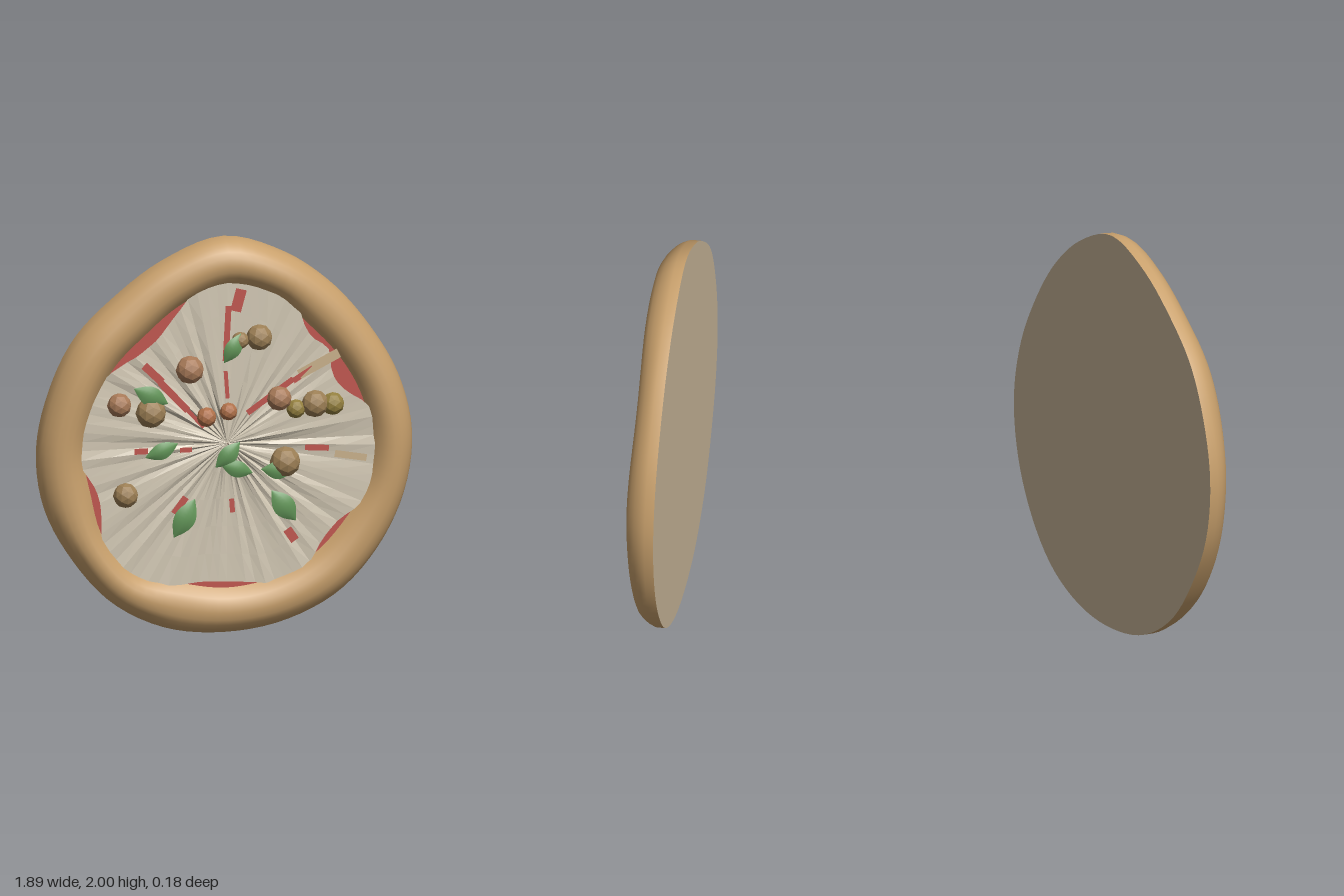
import * as THREE from 'three';

const CY = 0.97; // height of the pizza's middle
const N = 96; // steps around the rim
const BACK = -0.09;

// Radii every 18 degrees, counter-clockwise from +x
const OUTER = [0.942, 0.921, 0.91, 0.937, 0.984, 1.03, 0.974, 0.931, 0.931, 0.926,
  0.942, 0.952, 0.952, 0.974, 0.979, 0.97, 0.974, 0.979, 0.963, 0.952];
const INNER = [0.725, 0.704, 0.693, 0.704, 0.767, 0.794, 0.741, 0.693, 0.693, 0.698,
  0.714, 0.714, 0.762, 0.783, 0.73, 0.73, 0.73, 0.73, 0.725, 0.741];

function outline(radii) {
  const curve = new THREE.CatmullRomCurve3(radii.map((r, i) => {
    const a = (i / radii.length) * Math.PI * 2;
    return new THREE.Vector3(r * Math.cos(a), r * Math.sin(a), 0);
  }), true);
  return Array.from({ length: N }, (_, j) => curve.getPoint(j / N));
}

// Skin a set of closed rings, each of N points
function loft(rings) {
  const pos = [], index = [];
  rings.forEach(ring => ring.forEach(p => pos.push(p.x, p.y, p.z)));
  for (let i = 0; i < rings.length - 1; i++) {
    for (let j = 0; j < N; j++) {
      const k = (j + 1) % N;
      const a = i * N + j, b = i * N + k, c = a + N, d = b + N;
      index.push(a, b, c, b, d, c);
    }
  }
  const g = new THREE.BufferGeometry();
  g.setAttribute('position', new THREE.Float32BufferAttribute(pos, 3));
  g.setIndex(index);
  g.computeVertexNormals();
  return g;
}

function seeded(seed) {
  return () => {
    seed = (seed * 16807) % 2147483647;
    return seed / 2147483647;
  };
}

const paint = (color, extra = {}) => new THREE.MeshStandardMaterial({ color, ...extra });

export function createModel() {
  const model = new THREE.Group();
  const pizza = new THREE.Group();
  pizza.name = 'pizza';
  pizza.position.y = CY;
  model.add(pizza);

  const add = (name, geometry, material, parent = pizza) => {
    const mesh = new THREE.Mesh(geometry, material);
    mesh.name = name;
    parent.add(mesh);
    return mesh;
  };
  const group = name => {
    const g = new THREE.Group();
    g.name = name;
    pizza.add(g);
    return g;
  };

  const outer = outline(OUTER), inner = outline(INNER);
  const scaled = (ring, s, z) => ring.map(p => new THREE.Vector3(p.x * s, p.y * s, z));

  // Crust: a puffy section swept around the rim, [share of the way inward, z]
  const section = [[0, BACK], [0, -0.045], [0.05, -0.015], [0.12, 0.01], [0.22, 0.034], [0.34, 0.05],
    [0.5, 0.057], [0.65, 0.052], [0.78, 0.036], [0.9, 0.01], [1, -0.02]];
  add('crust', loft(section.map(([t, z]) => outer.map((p, j) => {
    const a = (j / N) * Math.PI * 2;
    const puff = 0.006 * Math.sin(5 * a + 1) * Math.sin(Math.PI * t);
    const v = p.clone().lerp(inner[j], t);
    v.z = z + puff;
    return v;
  }))), paint(0xc8a06c));

  // Flat underside and sauce layer
  add('base', loft([scaled(outer, 0.001, BACK), scaled(outer, 1, BACK)]), paint(0xc8b698, { flatShading: true }));
  add('sauce', loft([scaled(inner, 1.02, -0.012), scaled(inner, 0.001, -0.012)]), paint(0xc0564f, { flatShading: true }));

  // Cheese: radial ridges, with an edge that draws back to bare the sauce [degrees, half width, depth]
  const gaps = [[126, 22, 0.1], [28, 15, 0.14], [50, 10, 0.07], [268, 18, 0.07], [202, 14, 0.07], [318, 14, 0.07]];
  const random = seeded(41);
  const ridge = inner.map(() => random() * 2 - 1);
  const cheeseRing = t => inner.map((p, j) => {
    const deg = (j / N) * 360;
    let edge = 1.03;
    for (const [at, half, depth] of gaps) {
      const d = Math.abs(deg - at) / half;
      if (d < 1) edge -= depth * (1 - d * d);
    }
    const lift = 0.012 * ridge[j] * Math.min(1, t * 5) * (1 - 0.6 * t);
    return new THREE.Vector3(p.x * t * edge, p.y * t * edge, 0.004 + lift);
  });
  add('cheese', loft([1, 0.8, 0.6, 0.4, 0.2, 0.08, 0.002].map(cheeseRing)),
    paint(0xd2c8b4, { flatShading: true, side: THREE.DoubleSide }));

  // Thin streaks on the cheese: [x1, y1, x2, y2, width]
  const streaks = (name, color, list) => {
    const g = group(name + 's');
    const material = paint(color, { side: THREE.DoubleSide });
    for (const [x1, y1, x2, y2, w] of list) {
      const length = Math.hypot(x2 - x1, y2 - y1);
      const m = add(name, new THREE.PlaneGeometry(length, w), material, g);
      m.position.set((x1 + x2) / 2, (y1 + y2) / 2 - CY, 0.014);
      m.rotation.z = Math.atan2(y2 - y1, x2 - x1);
    }
  };
  streaks('sauceStreak', 0xc0564f, [
    [0.07, 1.75, 0.04, 1.64, 0.055], [0.005, 1.67, -0.01, 1.39, 0.03], [-0.01, 1.34, 0, 1.2, 0.02],
    [-0.42, 1.39, -0.33, 1.3, 0.04], [-0.34, 1.3, -0.2, 1.15, 0.035], [-0.2, 1.15, -0.12, 1.06, 0.02],
    [0.1, 1.12, 0.33, 1.28, 0.03], [0.33, 1.27, 0.43, 1.33, 0.03], [-0.47, 0.955, -0.4, 0.955, 0.03],
    [-0.24, 0.95, -0.18, 0.95, 0.025], [0.39, 0.93, 0.51, 0.92, 0.03], [0.3, 0.52, 0.34, 0.46, 0.045],
    [0.02, 0.69, 0.025, 0.62, 0.025], [-0.27, 0.63, -0.21, 0.71, 0.035]]);
  streaks('doughPatch', 0xc8b08a, [[0.54, 0.89, 0.7, 0.86, 0.035], [0.36, 1.3, 0.56, 1.4, 0.05]]);

  // Meatballs: [x, y, radius, colour]
  const brown = 0x9c7f55, olive = 0x94803f, reddish = 0xa87a58, orange = 0xb0714a;
  const balls = group('meatballs');
  for (const [x, y, r, color] of [
    [0.16, 1.5, 0.066, brown], [0.065, 1.49, 0.043, brown], [-0.19, 1.355, 0.071, reddish],
    [-0.545, 1.195, 0.061, reddish], [-0.386, 1.148, 0.077, brown], [-0.106, 1.11, 0.05, orange],
    [0.005, 1.132, 0.045, orange], [0.26, 1.185, 0.063, reddish], [0.344, 1.127, 0.048, olive],
    [0.44, 1.148, 0.069, brown], [0.53, 1.143, 0.058, olive], [0.29, 0.862, 0.077, brown],
    [-0.513, 0.735, 0.063, brown]]) {
    const m = add('meatball', new THREE.IcosahedronGeometry(r, 1), paint(color, { flatShading: true }), balls);
    m.position.set(x, y - CY, 0.008);
  }

  // Basil: pointed leaves, gently domed, given by their two tips and width
  const leaves = group('basilLeaves');
  const green = paint(0x64985a, { side: THREE.DoubleSide });
  for (const [x1, y1, x2, y2, w] of [
    [-0.02, 1.386, 0.063, 1.53, 0.085], [-0.475, 1.28, -0.305, 1.195, 0.1], [-0.418, 0.926, -0.254, 0.99, 0.085],
    [-0.064, 0.857, 0.058, 0.98, 0.09], [-0.04, 0.873, 0.122, 0.82, 0.085], [0.165, 0.836, 0.33, 0.82, 0.09],
    [-0.275, 0.513, -0.169, 0.704, 0.11], [0.217, 0.725, 0.339, 0.566, 0.11]]) {
    const length = Math.hypot(x2 - x1, y2 - y1);
    const g = new THREE.PlaneGeometry(length, w, 10, 4);
    const p = g.attributes.position;
    for (let i = 0; i < p.count; i++) {
      const u = p.getX(i) / length, v = p.getY(i) / w;
      const wide = Math.max(0.02, Math.cos(Math.PI * u));
      p.setXYZ(i, p.getX(i), v * w * wide, 0.025 * wide * (1 - 2 * v * v));
    }
    g.computeVertexNormals();
    const m = add('basilLeaf', g, green, leaves);
    m.position.set((x1 + x2) / 2, (y1 + y2) / 2 - CY, 0.03);
    m.rotation.z = Math.atan2(y2 - y1, x2 - x1);
  }

  return model;
}
